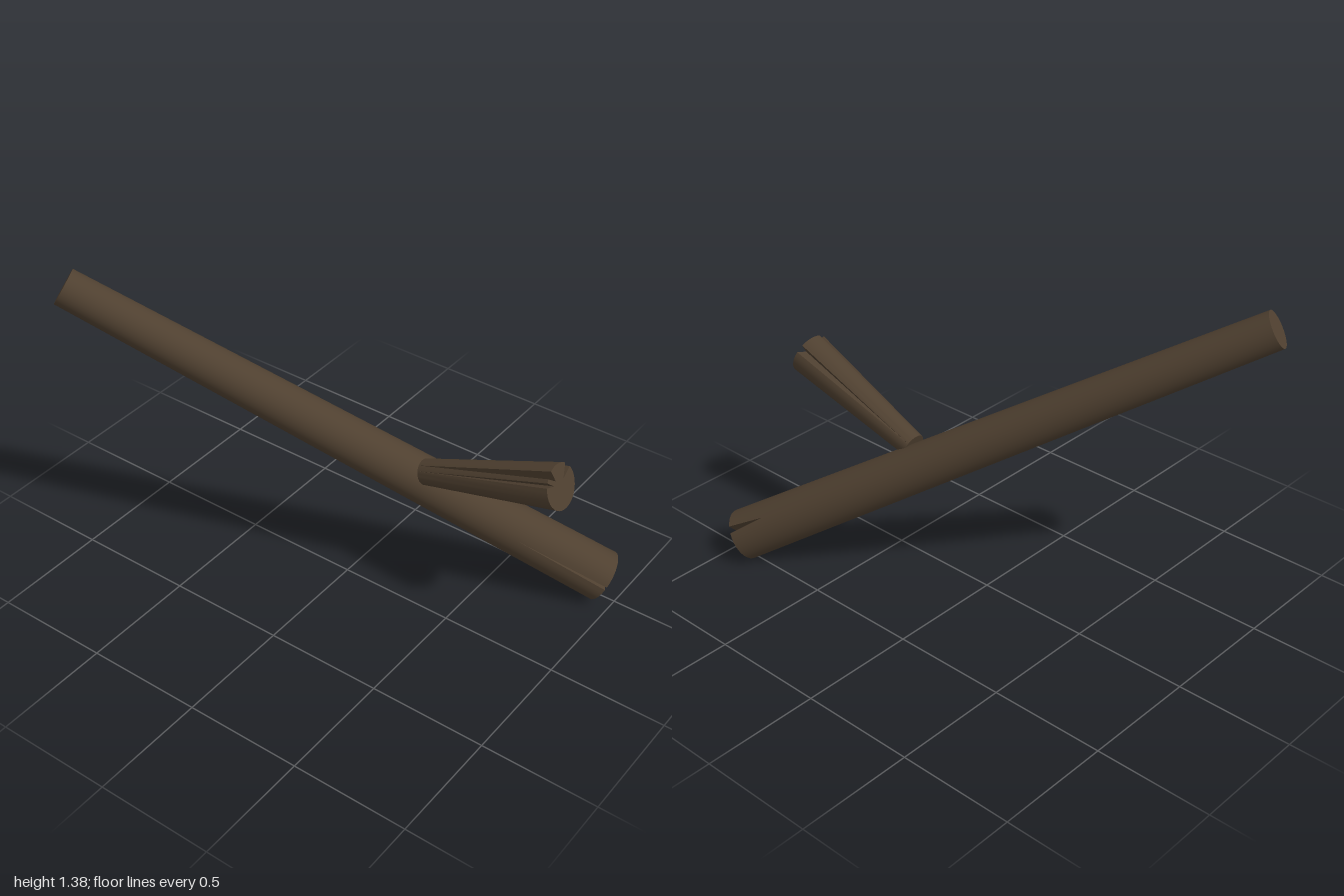
import * as THREE from 'three';
import { toCreasedNormals } from 'three/addons/utils/BufferGeometryUtils.js';

const ARC_STEP = 0.2;

// Tapered log from thin end to thick end; V-shaped splits open toward the thick end.
// Each split: angle and half (degrees), depth (fraction of radius), length along the log.
function splitLog(start, end, r0, r1, splits) {
  const axis = end.clone().sub(start);
  const length = axis.length();
  axis.normalize();
  const u = new THREE.Vector3(0, 0, 1).addScaledVector(axis, -axis.z).normalize();
  const v = u.clone().cross(axis);
  const rad = THREE.MathUtils.degToRad;

  // Rings at both ends and wherever a split begins
  const stations = [0, length];
  for (const s of splits) if (s.length < length) stations.push(length - s.length);
  stations.sort((a, b) => a - b);

  const rings = stations.map((d) => {
    const radius = THREE.MathUtils.lerp(r0, r1, d / length);
    const centre = start.clone().addScaledVector(axis, d);
    const open = (s) => Math.max(0, 1 - (length - d) / Math.min(s.length, length));
    const ring = [];
    const add = (angle, k) => ring.push(centre.clone()
      .addScaledVector(u, Math.cos(angle) * radius * k)
      .addScaledVector(v, Math.sin(angle) * radius * k));
    splits.forEach((s, i) => {
      const next = splits[(i + 1) % splits.length];
      const wrap = i === splits.length - 1 ? Math.PI * 2 : 0;
      // bottom of the split, then the round bark up to the next split
      add(rad(s.angle), 1 - s.depth * open(s));
      const from = rad(s.angle + s.half * open(s));
      const to = rad(next.angle - next.half * open(next)) + wrap;
      const n = Math.ceil((rad(next.angle - s.angle) + wrap) / ARC_STEP);
      for (let j = 0; j <= n; j++) add(from + (to - from) * j / n, 1);
    });
    return ring;
  });

  const pos = [];
  const tri = (...pts) => pts.forEach((p) => pos.push(p.x, p.y, p.z));
  const count = rings[0].length;
  const last = rings[rings.length - 1];
  for (let j = 0; j < count; j++) {
    const k = (j + 1) % count;
    for (let i = 0; i + 1 < rings.length; i++) {
      const a = rings[i], b = rings[i + 1];
      tri(a[j], b[j], a[k]);
      tri(a[k], b[j], b[k]);
    }
    tri(start, rings[0][j], rings[0][k]);
    tri(end, last[k], last[j]);
  }
  const geometry = new THREE.BufferGeometry();
  geometry.setAttribute('position', new THREE.Float32BufferAttribute(pos, 3));
  return toCreasedNormals(geometry, 0.6);
}

export function createModel() {
  const model = new THREE.Group();
  model.name = 'forkedLog';
  const bark = new THREE.MeshStandardMaterial({ color: 0x4f4030 });

  // Long trunk with two short cracks at its thick end
  const trunk = new THREE.Mesh(splitLog(
    new THREE.Vector3(-0.95, 1.318, 0.542), new THREE.Vector3(0.929, 0.097, -0.513),
    0.077, 0.11,
    [
      { angle: 28, half: 3.5, depth: 0.28, length: 0.43 },
      { angle: 152, half: 8, depth: 0.63, length: 0.17 },
    ]), bark);
  trunk.name = 'trunk';

  // Branch stub widening outward, with three cracks along its full length
  const branch = new THREE.Mesh(splitLog(
    new THREE.Vector3(0.308, 0.603, -0.105), new THREE.Vector3(0.913, 0.815, -0.103),
    0.053, 0.092,
    [
      { angle: 31, half: 6, depth: 0.5, length: 1 },
      { angle: 57, half: 10, depth: 0.55, length: 1 },
      { angle: 141, half: 11, depth: 0.65, length: 1 },
    ]), bark);
  branch.name = 'branch';

  model.add(trunk, branch);
  return model;
}
